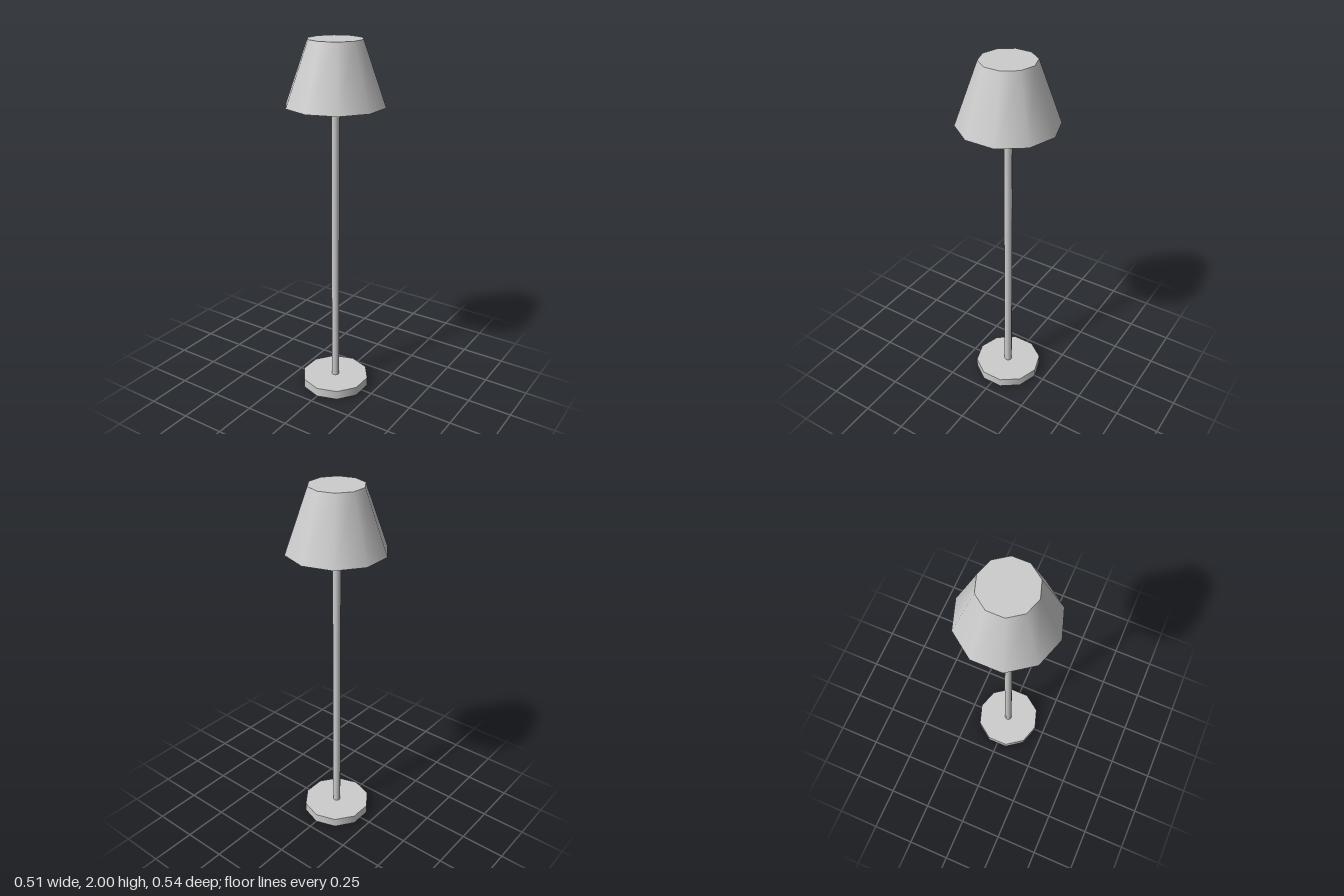
import * as THREE from 'three';

export function createModel() {
  const lamp = new THREE.Group();
  lamp.name = 'floorLamp';

  const lightGrey = new THREE.MeshStandardMaterial({ color: 0xcccccc });
  lightGrey.name = 'lightGrey';

  // Ten-sided smooth-shaded section with closed ends, from y0 to y1
  function section(name, bottomRadius, topRadius, y0, y1) {
    const geometry = new THREE.CylinderGeometry(topRadius, bottomRadius, y1 - y0, 10);
    const mesh = new THREE.Mesh(geometry, lightGrey);
    mesh.name = name;
    mesh.position.y = (y0 + y1) / 2;
    lamp.add(mesh);
  }

  section('base', 0.194, 0.194, 0, 0.052);
  section('pole', 0.022, 0.022, 0.05, 1.668);
  section('shade', 0.268, 0.146, 1.664, 2);

  return lamp;
}
